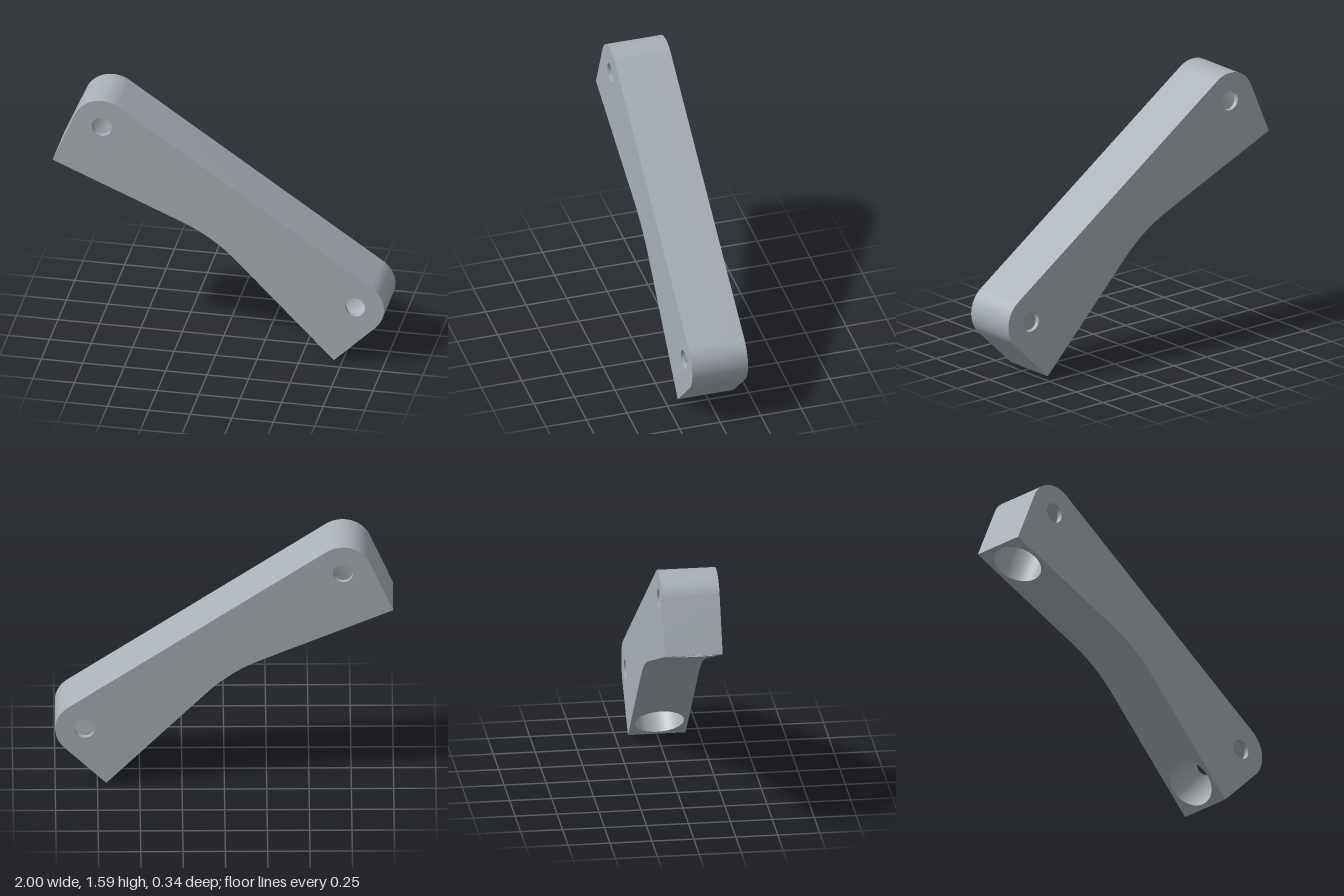
import * as THREE from 'three';
import { toCreasedNormals } from 'three/addons/utils/BufferGeometryUtils.js';

const T = 0.172;             // half thickness
const HALF = 1.029;          // half distance between the lower corners
const TILT = Math.PI / 16;   // slope of each underside
const END = 0.174;           // radius of the rounded ends
const PIN_R = 0.06, PIN_H = 0.348;
const SOCKET_R = 0.146, SOCKET_D = 0.42;
const FILLET = 1;

const V = (x, y, z) => new THREE.Vector3(x, y, z);
const u = V(-Math.cos(TILT), Math.sin(TILT), 0);  // inward along the right underside
const n = V(Math.sin(TILT), Math.cos(TILT), 0);   // from the underside into the body
const corner = V(HALF, 0, 0);
const pin = corner.clone().addScaledVector(u, END).addScaledVector(n, PIN_H);
const armLength = HALF / Math.cos(TILT) - FILLET * Math.tan(TILT);

// Strip of quads between two rows of points
function ribbon(a, b) {
  const index = [];
  for (let i = 0; i < a.length - 1; i++) {
    const j = a.length + i;
    index.push(i, j, j + 1, i, j + 1, i + 1);
  }
  const g = new THREE.BufferGeometry().setFromPoints([...a, ...b]);
  g.setIndex(index);
  g.computeVertexNormals();
  return g;
}

function arc(cx, cy, r, from, to, steps) {
  return Array.from({ length: steps + 1 }, (_, i) => {
    const t = from + (to - from) * i / steps;
    return new THREE.Vector2(cx + r * Math.cos(t), cy + r * Math.sin(t));
  });
}

function circleHole(x, y, r) {
  return new THREE.Path().absarc(x, y, r, 0, Math.PI * 2, true);
}

export function createModel() {
  const grey = new THREE.MeshStandardMaterial({ color: 0xa8b0b6 });
  grey.name = 'grey';
  const add = (parent, name, geometry) => {
    const m = new THREE.Mesh(geometry, grey);
    m.name = name;
    parent.add(m);
    return m;
  };

  const bracket = new THREE.Group();
  bracket.name = 'bracket';

  // Outline: rounded ends over the top, then the curved middle of the underside
  const upper = [
    new THREE.Vector2(HALF, 0),
    ...arc(pin.x, pin.y, END, -TILT, Math.PI / 2, 24),
    ...arc(-pin.x, pin.y, END, Math.PI / 2, Math.PI + TILT, 24),
    new THREE.Vector2(-HALF, 0),
  ];
  const filletY = HALF * Math.tan(TILT) - FILLET / Math.cos(TILT);
  const lower = arc(0, filletY, FILLET, Math.PI / 2 + TILT, Math.PI / 2 - TILT, 20);

  // Front and back faces with pin holes
  const outline = new THREE.Shape([...upper, ...lower]);
  outline.holes.push(circleHole(pin.x, pin.y, PIN_R), circleHole(-pin.x, pin.y, PIN_R));
  const face = new THREE.ShapeGeometry(outline, 32);
  add(bracket, 'frontFace', face).position.z = T;
  const back = add(bracket, 'backFace', face);
  back.rotation.y = Math.PI;
  back.position.z = -T;

  // Outer walls
  const wall = (pts) => toCreasedNormals(
    ribbon(pts.map(p => V(p.x, p.y, T)), pts.map(p => V(p.x, p.y, -T))), 0.4);
  add(bracket, 'topAndEndWalls', wall(upper));
  add(bracket, 'undersideCurve', wall(lower));

  // Flat underside with its round socket opening
  const plate = new THREE.Shape([
    new THREE.Vector2(0, -T), new THREE.Vector2(armLength, -T),
    new THREE.Vector2(armLength, T), new THREE.Vector2(0, T),
  ]);
  plate.holes.push(circleHole(END, 0, SOCKET_R));
  const underside = new THREE.ShapeGeometry(plate, 48).rotateX(Math.PI / 2);

  // Socket wall, cut where the pin hole crosses it
  const low = [], cutLow = [], cutHigh = [], high = [];
  for (let i = 0; i <= 144; i++) {
    const a = i / 144 * Math.PI * 2;
    const x = SOCKET_R * Math.sin(a), z = SOCKET_R * Math.cos(a);
    const w = Math.sqrt(Math.max(0, PIN_R ** 2 - x ** 2));
    low.push(V(END + x, 0, z));
    cutLow.push(V(END + x, PIN_H - w, z));
    cutHigh.push(V(END + x, PIN_H + w, z));
    high.push(V(END + x, SOCKET_D, z));
  }
  const socketLower = ribbon(low, cutLow);
  const socketUpper = ribbon(cutHigh, high);
  const socketFloor = new THREE.CircleGeometry(SOCKET_R, 48)
    .rotateX(Math.PI / 2).translate(END, SOCKET_D, 0);

  // Pin hole walls from each face to the socket
  const pinWall = (side) => {
    const inner = [], outer = [];
    for (let i = 0; i <= 48; i++) {
      const a = i / 48 * Math.PI * 2;
      const x = PIN_R * Math.cos(a), y = PIN_H + PIN_R * Math.sin(a);
      inner.push(V(END + x, y, side * Math.sqrt(SOCKET_R ** 2 - x ** 2)));
      outer.push(V(END + x, y, side * T));
    }
    return side > 0 ? ribbon(inner, outer) : ribbon(outer, inner);
  };

  // The same arm end on both sides
  for (const [name, turn] of [['leftArm', 0], ['rightArm', Math.PI]]) {
    const arm = new THREE.Group();
    arm.name = name;
    arm.rotation.y = turn;
    const end = new THREE.Group();
    end.name = name + 'Socket';
    end.position.copy(corner);
    end.quaternion.setFromRotationMatrix(new THREE.Matrix4().makeBasis(u, n, V(0, 0, -1)));
    add(end, 'underside', underside);
    add(end, 'socketLowerWall', socketLower);
    add(end, 'socketUpperWall', socketUpper);
    add(end, 'socketFloor', socketFloor);
    add(end, 'pinHoleA', pinWall(1));
    add(end, 'pinHoleB', pinWall(-1));
    arm.add(end);
    bracket.add(arm);
  }

  // Lean the bracket down to its left
  bracket.rotation.z = THREE.MathUtils.degToRad(-34.5);
  bracket.position.set(-0.15, 0.583, 0);
  const model = new THREE.Group();
  model.name = 'angledBracket';
  model.add(bracket);
  return model;
}
